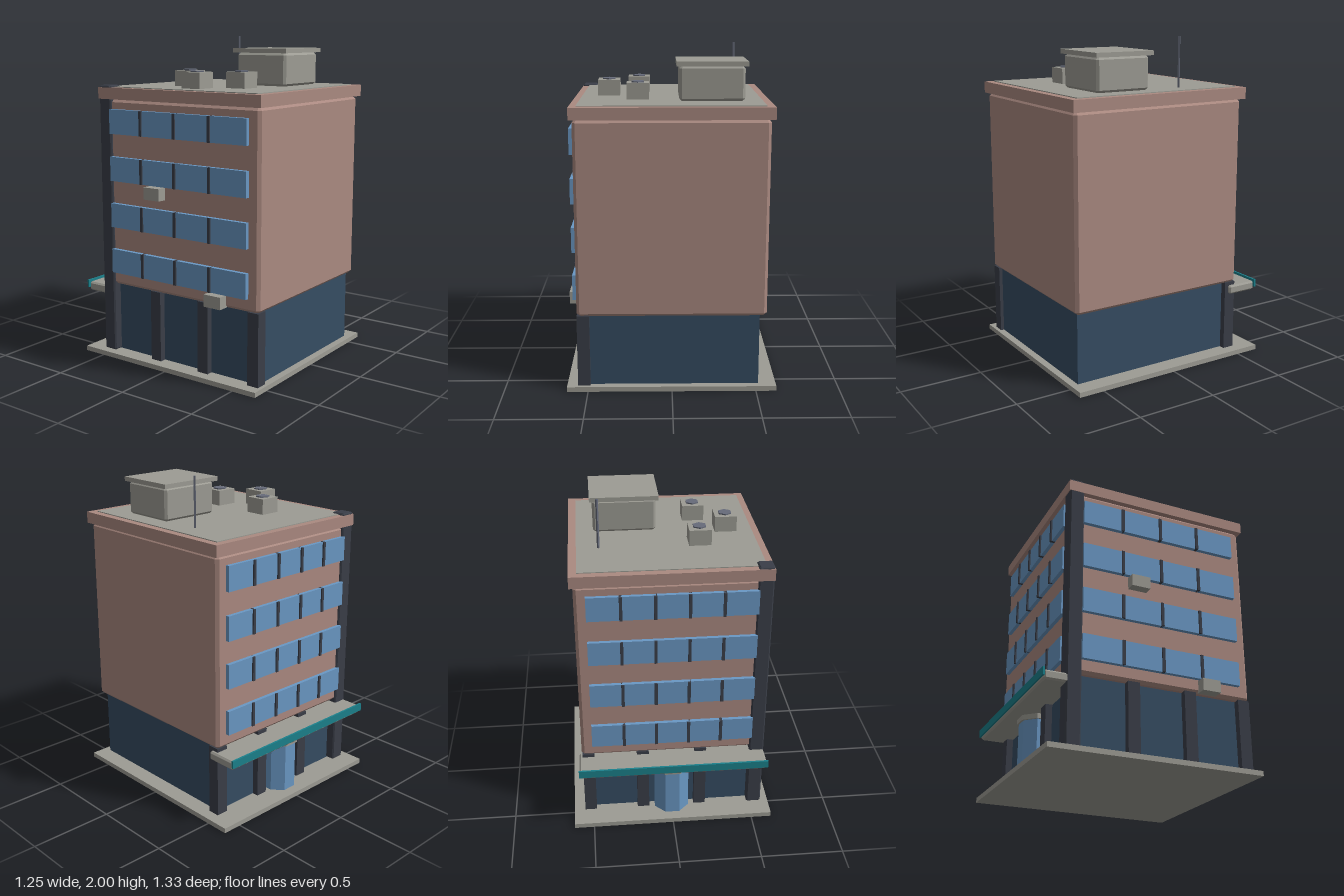
import * as THREE from 'three';

const mat = (name, color) => {
  const m = new THREE.MeshStandardMaterial({ color });
  m.name = name;
  return m;
};

export function createModel() {
  const building = new THREE.Group();
  building.name = 'officeBuilding';

  const brick = mat('brick', 0xab8a81);
  const concrete = mat('concrete', 0x9d9c94);
  const navy = mat('navyWall', 0x364d63);
  const dark = mat('darkColumn', 0x3a3e48);
  const glass = mat('glass', 0x6a98c4);
  const teal = mat('tealTrim', 0x1b818c);
  const metal = mat('metal', 0x666b7a);

  const add = (name, geometry, material, x, y, z, parent = building) => {
    const mesh = new THREE.Mesh(geometry, material);
    mesh.name = name;
    mesh.position.set(x, y, z);
    parent.add(mesh);
    return mesh;
  };

  // Box given by its limits on each axis
  const box = (name, material, [x0, x1], [y0, y1], [z0, z1], parent) =>
    add(name, new THREE.BoxGeometry(x1 - x0, y1 - y0, z1 - z0), material,
      (x0 + x1) / 2, (y0 + y1) / 2, (z0 + z1) / 2, parent);

  // Box with every edge chamfered by c
  const chamferBox = (name, material, [x0, x1], [y0, y1], [z0, z1], c, parent) => {
    const a = (x1 - x0) / 2 - c, b = (z1 - z0) / 2 - c, k = c * 0.414;
    const corners = [[a, -b + k], [a, b - k], [a - k, b], [-a + k, b],
      [-a, b - k], [-a, -b + k], [-a + k, -b], [a - k, -b]];
    const shape = new THREE.Shape(corners.map(([x, y]) => new THREE.Vector2(x, y)));
    const g = new THREE.ExtrudeGeometry(shape, {
      depth: y1 - y0 - 2 * c, bevelEnabled: true, bevelSize: c, bevelThickness: c, bevelSegments: 1,
    });
    g.rotateX(-Math.PI / 2);
    return add(name, g, material, (x0 + x1) / 2, y0 + c, (z0 + z1) / 2, parent);
  };

  // Main masses
  box('baseSlab', concrete, [-0.625, 0.622], [0, 0.03], [-0.645, 0.66]);
  box('groundFloorWall', navy, [-0.52, 0.517], [0.03, 0.475], [-0.47, 0.615]);
  chamferBox('upperFloors', brick, [-0.56, 0.557], [0.465, 1.625], [-0.515, 0.64], 0.018);
  box('cornice', brick, [-0.578, 0.578], [1.625, 1.695], [-0.533, 0.656]);
  box('roofDeck', concrete, [-0.537, 0.531], [1.69, 1.7], [-0.487, 0.608]);

  // Ground floor columns along the back and the right-hand side
  const columns = new THREE.Group();
  columns.name = 'groundColumns';
  building.add(columns);
  const column = (x, z) => box('column', dark, [x - 0.037, x + 0.037], [0.03, 0.468], [z - 0.037, z + 0.037], columns);
  for (const x of [0.516, 0.18, -0.18]) column(x, -0.473);
  for (const z of [-0.115, 0.243, 0.6]) column(-0.523, z);
  chamferBox('cornerColumn', dark, [-0.576, -0.485], [0.03, 1.708], [-0.528, -0.437], 0.008);

  // Window bands with mullions on four floors
  const windows = new THREE.Group();
  windows.name = 'windows';
  building.add(windows);
  for (let floor = 0; floor < 4; floor++) {
    const y = 0.621 + floor * 0.29;
    const band = [y - 0.075, y + 0.075];
    box('backGlass', glass, [-0.495, 0.49], band, [-0.538, -0.5], windows);
    for (let i = 0; i < 4; i++) {
      const x = -0.297 + i * 0.197;
      box('backMullion', dark, [x - 0.009, x + 0.009], band, [-0.547, -0.51], windows);
    }
    box('sideGlass', glass, [-0.586, -0.54], band, [-0.44, 0.568], windows);
    for (let i = 0; i < 3; i++) {
      const z = -0.19 + i * 0.252;
      box('sideMullion', dark, [-0.594, -0.55], band, [z - 0.009, z + 0.009], windows);
    }
  }

  // Canopy and entrance at the back
  chamferBox('canopy', concrete, [-0.575, 0.573], [0.392, 0.447], [-0.655, -0.46], 0.01);
  box('canopyTrim', teal, [-0.582, 0.578], [0.41, 0.458], [-0.665, -0.653]);
  const octagon = (r, h) => new THREE.CylinderGeometry(r, r, h, 8).rotateY(Math.PI / 8).toNonIndexed();
  const flat = (g) => { g.computeVertexNormals(); return g; };
  add('entranceDrum', flat(octagon(0.115, 0.31)), glass, 0, 0.185, -0.473);
  add('entranceCap', flat(octagon(0.127, 0.03)), concrete, 0, 0.353, -0.473);

  // Wall-mounted cooling units
  for (const [y, z] of [[1.083, -0.088], [0.503, 0.356]]) {
    box('wallUnit', concrete, [-0.619, -0.55], [y - 0.037, y + 0.037], [z - 0.058, z + 0.058]);
  }

  // Roof house
  chamferBox('roofHouse', concrete, [0.045, 0.426], [1.7, 1.9], [0.067, 0.418], 0.014);
  box('roofHouseSlab', concrete, [0.028, 0.443], [1.9, 1.927], [0.047, 0.432]);

  // Roof vents with hexagonal fans
  for (const [x, z] of [[-0.197, -0.118], [-0.375, 0.074], [-0.197, 0.268]]) {
    box('ventBox', concrete, [x - 0.066, x + 0.066], [1.695, 1.795], [z - 0.066, z + 0.066]);
    const fan = new THREE.CylinderGeometry(0.043, 0.043, 0.009, 6).toNonIndexed();
    add('ventFan', flat(fan), metal, x, 1.798, z);
  }

  // Antenna
  const mast = new THREE.CylinderGeometry(0.008, 0.008, 0.305, 4).toNonIndexed();
  add('antenna', flat(mast), metal, 0.4, 1.8475, -0.162);

  return building;
}
